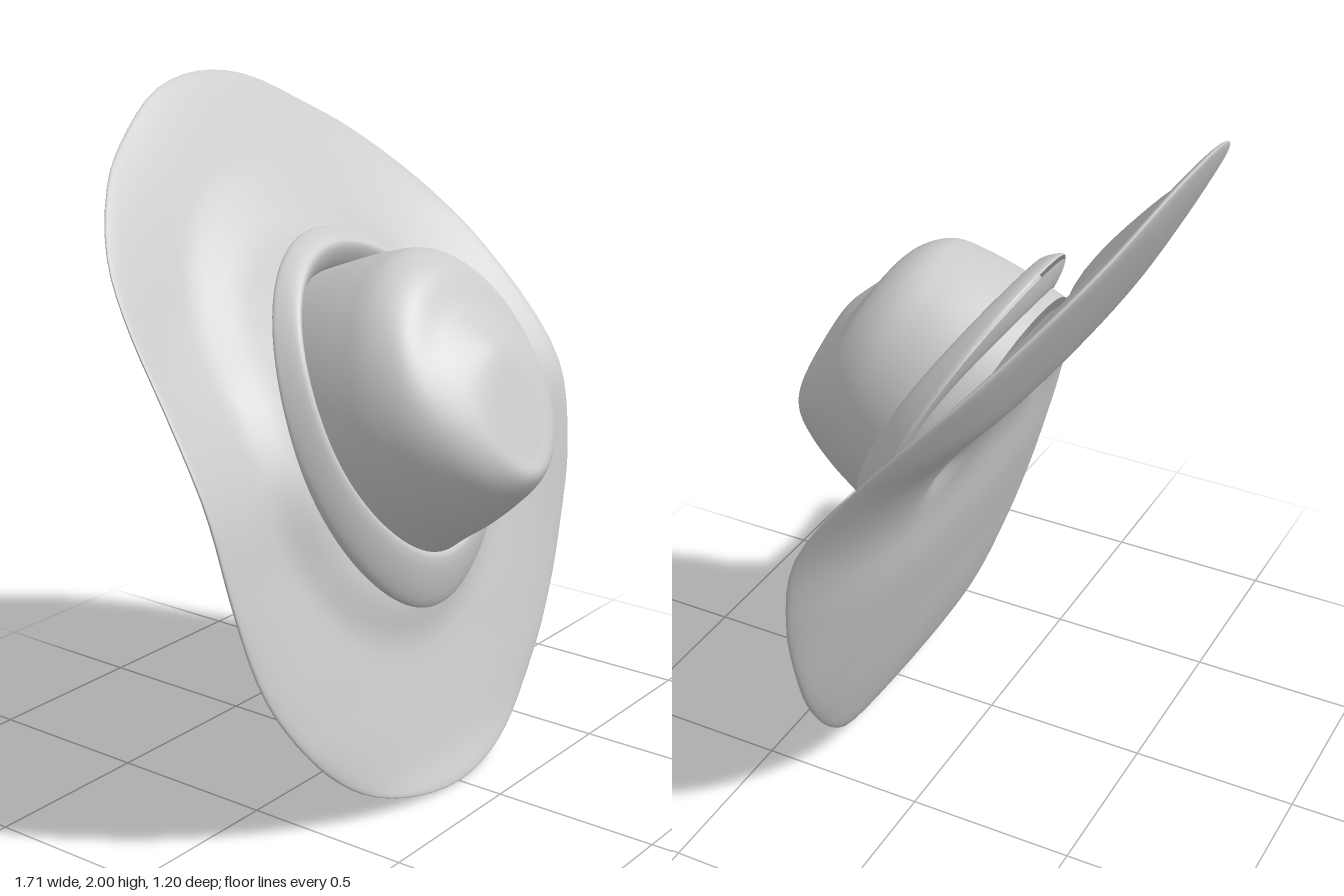
import * as THREE from 'three';

const SEG = 96;
const material = new THREE.MeshStandardMaterial({ color: 0xcccccc, side: THREE.DoubleSide });

// Skin a list of closed rings, each holding SEG points
function loft(name, rings, closed = false) {
  const pos = rings.flat().flatMap(p => [p.x, p.y, p.z]);
  const index = [];
  const last = closed ? rings.length : rings.length - 1;
  for (let j = 0; j < last; j++) {
    for (let i = 0; i < SEG; i++) {
      const k = (i + 1) % SEG, m = (j + 1) % rings.length;
      const a = j * SEG + i, b = j * SEG + k, c = m * SEG + i, d = m * SEG + k;
      index.push(a, c, b, b, c, d);
    }
  }
  const geo = new THREE.BufferGeometry();
  geo.setAttribute('position', new THREE.Float32BufferAttribute(pos, 3));
  geo.setIndex(index);
  geo.computeVertexNormals();
  const mesh = new THREE.Mesh(geo, material);
  mesh.name = name;
  return mesh;
}

// Smooth function through [y, z] pairs
function profile(pairs) {
  const f = new THREE.CubicInterpolant(pairs.map(p => p[0]), pairs.map(p => p[1]), 1);
  return y => f.evaluate(THREE.MathUtils.clamp(y, pairs[0][0], pairs[pairs.length - 1][0]))[0];
}

// Tilted oval levels [topY, topZ, bottomY, bottomZ, halfWidth], smoothed along each meridian
function ovalRings(levels, steps, closed, bow, point) {
  const rings = Array.from({ length: steps + (closed ? 0 : 1) }, () => []);
  for (let i = 0; i < SEG; i++) {
    const t = i / SEG * Math.PI * 2, c = Math.cos(t), s = Math.sin(t);
    const pinch = 1 - point * Math.max(0, -c) ** 2;
    const curve = new THREE.CatmullRomCurve3(levels.map(([ty, tz, by, bz, w]) => new THREE.Vector3(
      w * s * pinch,
      (ty + by) / 2 + (ty - by) / 2 * c,
      (tz + bz) / 2 + (tz - bz) / 2 * c + bow * s * s
    )), closed);
    rings.forEach((ring, j) => ring.push(curve.getPoint(j / steps)));
  }
  return rings;
}

function brimRings() {
  // Right half of the outline from top to bottom, then mirrored
  const half = [[0, 2], [0.2, 1.97], [0.4, 1.87], [0.54, 1.78], [0.7, 1.62], [0.78, 1.48], [0.825, 1.32],
    [0.855, 1.1], [0.84, 0.9], [0.8, 0.7], [0.72, 0.48], [0.62, 0.32], [0.5, 0.185], [0.37, 0.09], [0.2, 0.03], [0, 0.005]];
  const all = [...half, ...half.slice(1, -1).reverse().map(([x, y]) => [-x, y])];
  const outline = new THREE.CatmullRomCurve3(all.map(([x, y]) => new THREE.Vector3(x, y, 0)), true);
  const edge = Array.from({ length: SEG }, (_, i) => outline.getPoint(i / SEG));

  // Depth down the middle, and depth of the curled rim
  const middle = profile([[0, 0.36], [0.1, 0.305], [0.25, 0.24], [0.5, 0.17], [0.75, 0.1], [1, 0.04],
    [1.2, -0.07], [1.4, -0.25], [1.6, -0.385], [1.8, -0.505], [2, -0.6]]);
  const rim = profile([[0, 0.36], [0.1, 0.3], [0.3, 0.255], [0.53, 0.22], [0.8, 0.195], [1.05, 0.14],
    [1.2, 0.05], [1.43, -0.14], [1.58, -0.28], [1.7, -0.385], [1.87, -0.52], [2, -0.6]]);

  const ring = (s, side) => edge.map(e => {
    const x = e.x * s, y = 1.08 + (e.y - 1.08) * s;
    let z = THREE.MathUtils.lerp(middle(y), rim(y), s ** 4);
    z += side * 0.04 * Math.sqrt(1 - s ** 4);
    if (side > 0) {
      // Gentle rise toward the crown
      const r = Math.hypot(x / 0.42, (y - 1.08) / 0.48);
      z += 0.05 * (1 - THREE.MathUtils.smoothstep(r, 1, 1.4));
    } else {
      // Shallow dimples underneath
      z += 0.03 * Math.exp(-((Math.abs(x) - 0.32) ** 2 + (y - 1.1) ** 2) / 0.006);
    }
    return new THREE.Vector3(x, y, z);
  });

  const rings = [], n = 32;
  const ease = k => Math.sin(k / n * Math.PI / 2);
  for (let k = 0; k <= n; k++) rings.push(ring(ease(k), -1));
  for (let k = n - 1; k >= 0; k--) rings.push(ring(ease(k), 1));
  return rings;
}

export function createModel() {
  const hat = new THREE.Group();
  hat.name = 'hat';

  hat.add(loft('brim', brimRings()));

  // Crown, from the buried base to the creased top
  hat.add(loft('crown', ovalRings([
    [1.46, -0.16, 0.62, 0.2, 0.385],
    [1.5, -0.06, 0.72, 0.31, 0.385],
    [1.55, 0.08, 0.76, 0.36, 0.372],
    [1.57, 0.18, 0.81, 0.43, 0.35],
    [1.53, 0.27, 0.88, 0.51, 0.31],
    [1.44, 0.34, 0.95, 0.575, 0.25],
    [1.38, 0.41, 1.0, 0.6, 0.17],
    [1.33, 0.46, 1.05, 0.58, 0.09],
    [1.2, 0.52, 1.2, 0.52, 0],
  ], 48, false, 0, 0.1)));

  // Flared band round the foot of the crown
  hat.add(loft('band', ovalRings([
    [1.59, -0.165, 0.545, 0.265, 0.44],
    [1.588, -0.14, 0.55, 0.285, 0.436],
    [1.55, -0.09, 0.72, 0.315, 0.39],
    [1.47, -0.13, 0.7, 0.24, 0.37],
  ], 24, true, 0.06, 0.18)));

  return hat;
}
